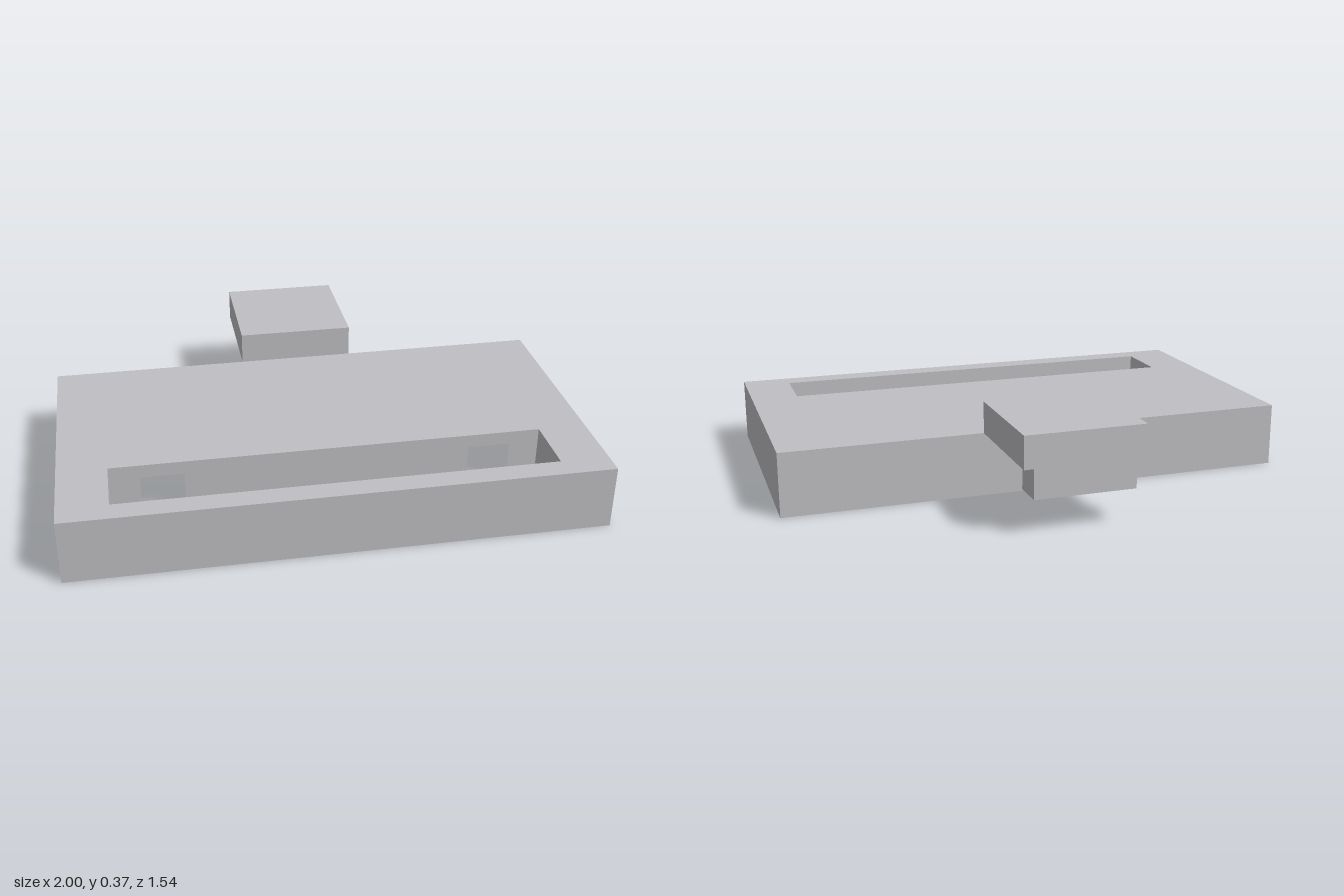
import * as THREE from 'three';
import { toCreasedNormals } from 'three/addons/utils/BufferGeometryUtils.js';

const HEIGHT = 0.247, POCKET_TOP = 0.195;
const SLOT = { x: 0.815, near: -0.685, far: -0.45 };
const POCKET = { x: 0.62, y: -0.224, r: 0.24 };

// Plate outline, drawn in plan with shape y = -z
function plateShape(hole) {
  const shape = new THREE.Shape();
  shape.moveTo(-1, -0.77).lineTo(1, -0.77).lineTo(1, 0.308).lineTo(-1, 0.308).closePath();
  shape.holes.push(hole);
  return shape;
}

// Slot outline, optionally joined with the two round pockets that break into it
function slotPath(withPockets) {
  const path = new THREE.Path();
  path.moveTo(-SLOT.x, SLOT.near).lineTo(SLOT.x, SLOT.near).lineTo(SLOT.x, SLOT.far);
  if (withPockets) {
    const gap = Math.acos((POCKET.y - SLOT.far) / POCKET.r);
    for (const side of [1, -1]) {
      path.absarc(side * POCKET.x, POCKET.y, POCKET.r, -Math.PI / 2 + gap, 1.5 * Math.PI - gap, false);
    }
  }
  path.lineTo(-SLOT.x, SLOT.far).closePath();
  return path;
}

function slab(shape, bottom, top) {
  const geo = new THREE.ExtrudeGeometry(shape, { depth: top - bottom, bevelEnabled: false, curveSegments: 48 });
  geo.rotateX(-Math.PI / 2).translate(0, bottom, 0);
  return toCreasedNormals(geo, 0.5);
}

export function createModel() {
  const model = new THREE.Group();
  model.name = 'slottedPlate';
  const grey = new THREE.MeshStandardMaterial({ color: 0xc0c0c4 });
  grey.name = 'light grey';

  const add = (name, geo) => {
    const mesh = new THREE.Mesh(geo, grey);
    mesh.name = name;
    model.add(mesh);
  };
  const box = (w, y0, y1, z0, z1) =>
    new THREE.BoxGeometry(w, y1 - y0, z1 - z0).translate(0, (y0 + y1) / 2, (z0 + z1) / 2);

  // Plate: pocketed lower layer and a thin roof over the pockets
  add('plateBody', slab(plateShape(slotPath(true)), 0, POCKET_TOP));
  add('plateRoof', slab(plateShape(slotPath(false)), POCKET_TOP, HEIGHT));

  // Rear latch: tab with a narrower hook under its end
  add('latchTab', box(0.458, HEIGHT, 0.37, -0.77, -0.308));
  add('latchHook', box(0.385, 0.135, HEIGHT, -0.77, -0.647));
  return model;
}
